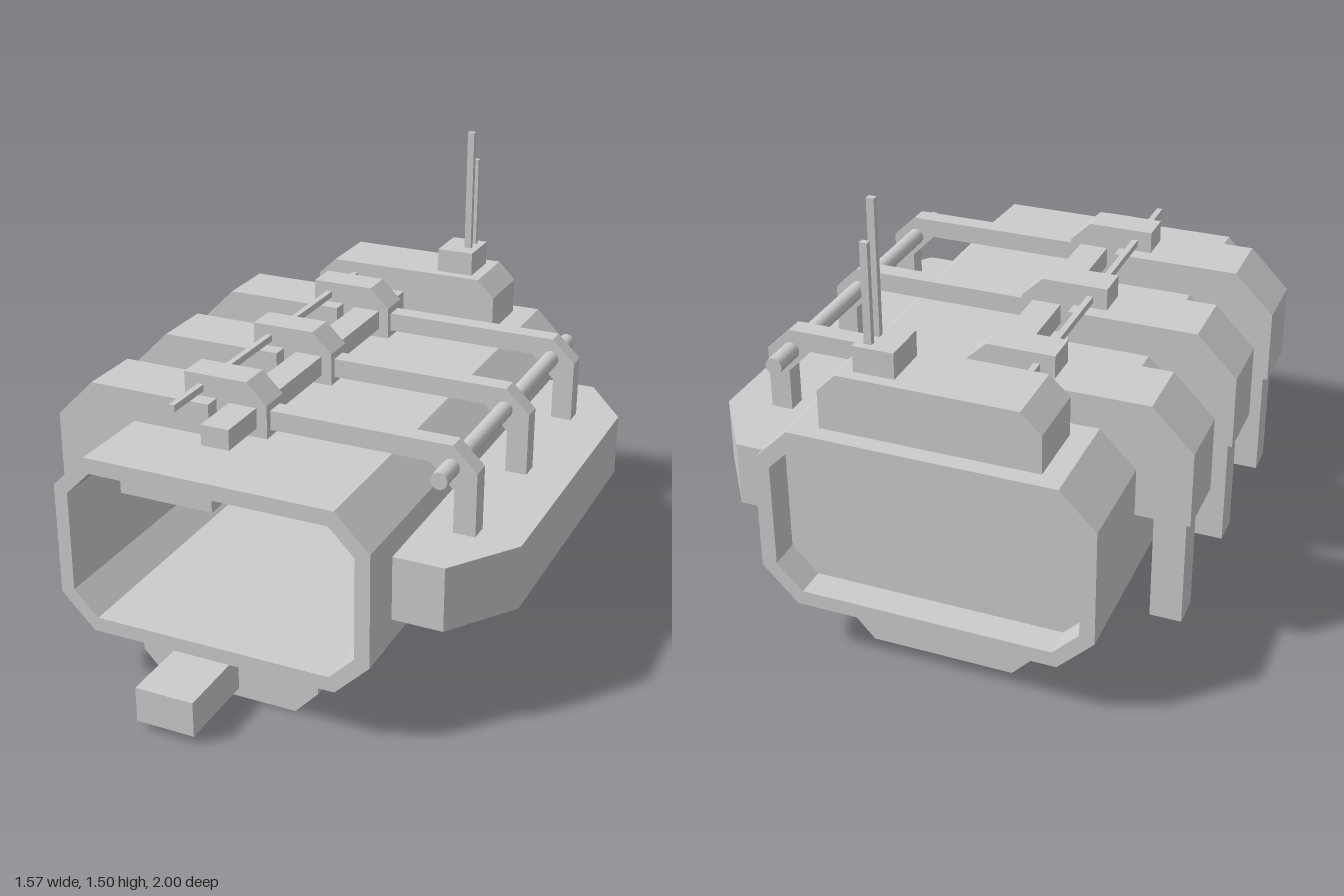
import * as THREE from 'three';

export function createModel() {
  const model = new THREE.Group();
  model.name = 'utilityModule';
  const grey = new THREE.MeshStandardMaterial({ color: 0xcccccc });
  grey.name = 'plainGrey';

  function add(name, geometry) {
    const mesh = new THREE.Mesh(geometry, grey);
    mesh.name = name;
    model.add(mesh);
    return mesh;
  }
  // Box given by its limits on each axis
  function box(name, x0, x1, y0, y1, z0, z1) {
    const g = new THREE.BoxGeometry(x1 - x0, y1 - y0, z1 - z0);
    g.translate((x0 + x1) / 2, (y0 + y1) / 2, (z0 + z1) / 2);
    return add(name, g);
  }
  const points = (list) => list.map(([x, y]) => new THREE.Vector2(x, y));
  // Front-facing outline extruded from z0 to z1
  function prism(name, outline, z0, z1, hole) {
    const shape = new THREE.Shape(points(outline));
    if (hole) shape.holes.push(new THREE.Path(points(hole)));
    const g = new THREE.ExtrudeGeometry(shape, { depth: z1 - z0, bevelEnabled: false });
    g.translate(0, 0, z0);
    return add(name, g);
  }
  // Rectangle with all four corners cut
  const octagon = (x0, x1, y0, y1, c) => [
    [x0 + c, y0], [x1 - c, y0], [x1, y0 + c], [x1, y1 - c],
    [x1 - c, y1], [x0 + c, y1], [x0, y1 - c], [x0, y0 + c],
  ];

  // Hollow hull, open at the front, with a recessed rear wall
  const inner = octagon(-0.568, 0.41, 0.235, 0.745, 0.084);
  prism('hull', octagon(-0.615, 0.46, 0.186, 0.797, 0.115), -1, 0.817, inner);
  prism('rearWall', inner, -0.9, -0.88);

  // Keel and front stub
  prism('keel', [[-0.305, 0], [0.16, 0], [0.24, 0.086], [0.24, 0.187],
    [-0.387, 0.187], [-0.387, 0.086]], -0.86, 0.71);
  box('frontStub', -0.24, -0.04, 0.03, 0.15, 0.7, 1);

  // Side pod, outline drawn in plan and laid flat
  const pod = new THREE.ExtrudeGeometry(new THREE.Shape(points([
    [0.45, -0.655], [0.627, -0.655], [0.785, -0.435],
    [0.785, 0.602], [0.627, 0.826], [0.45, 0.826],
  ])), { depth: 0.215, bevelEnabled: false });
  pod.rotateX(-Math.PI / 2);
  pod.translate(0, 0.38, 0);
  add('sidePod', pod);

  // Shoulders and legs, roof clamps and bent arms
  [0.408, -0.062, -0.54].forEach((z) => {
    prism('shoulder', [[-0.787, 0.525], [-0.227, 0.525], [-0.227, 0.904],
      [-0.655, 0.904], [-0.787, 0.771]], z - 0.11, z + 0.11);
    box('leg', -0.76, -0.658, 0.13, 0.53, z - 0.052, z + 0.052);
    prism('clamp', [[-0.34, 0.797], [-0.05, 0.797], [-0.05, 0.91],
      [-0.12, 0.978], [-0.34, 0.978]], z - 0.056, z + 0.056);
    prism('bentArm', [[-0.06, 0.82], [0.487, 0.82], [0.568, 0.737], [0.568, 0.59],
      [0.64, 0.59], [0.64, 0.807], [0.56, 0.885], [-0.06, 0.885]], z - 0.032, z + 0.032);
  });

  // Roof rails and round side bar
  box('wideRail', -0.183, -0.086, 0.828, 0.897, -0.73, 0.645);
  box('thinRail', -0.292, -0.272, 0.921, 0.944, -0.73, 0.645);
  const bar = new THREE.CylinderGeometry(0.028, 0.028, 1.23, 24);
  bar.rotateX(Math.PI / 2);
  bar.translate(0.556, 0.813, -0.073);
  add('sideBar', bar);

  // Rear roof housing with antennas
  prism('roofHousing', [[-0.43, 0.795], [0.265, 0.795], [0.265, 0.922],
    [0.204, 0.984], [-0.365, 0.984], [-0.43, 0.922]], -0.943, -0.712);
  box('antennaBase', 0.034, 0.165, 0.98, 1.068, -0.903, -0.748);
  box('tallAntenna', 0.114, 0.138, 1.06, 1.497, -0.825, -0.805);
  box('shortAntenna', 0.114, 0.138, 1.06, 1.385, -0.879, -0.86);

  return model;
}
